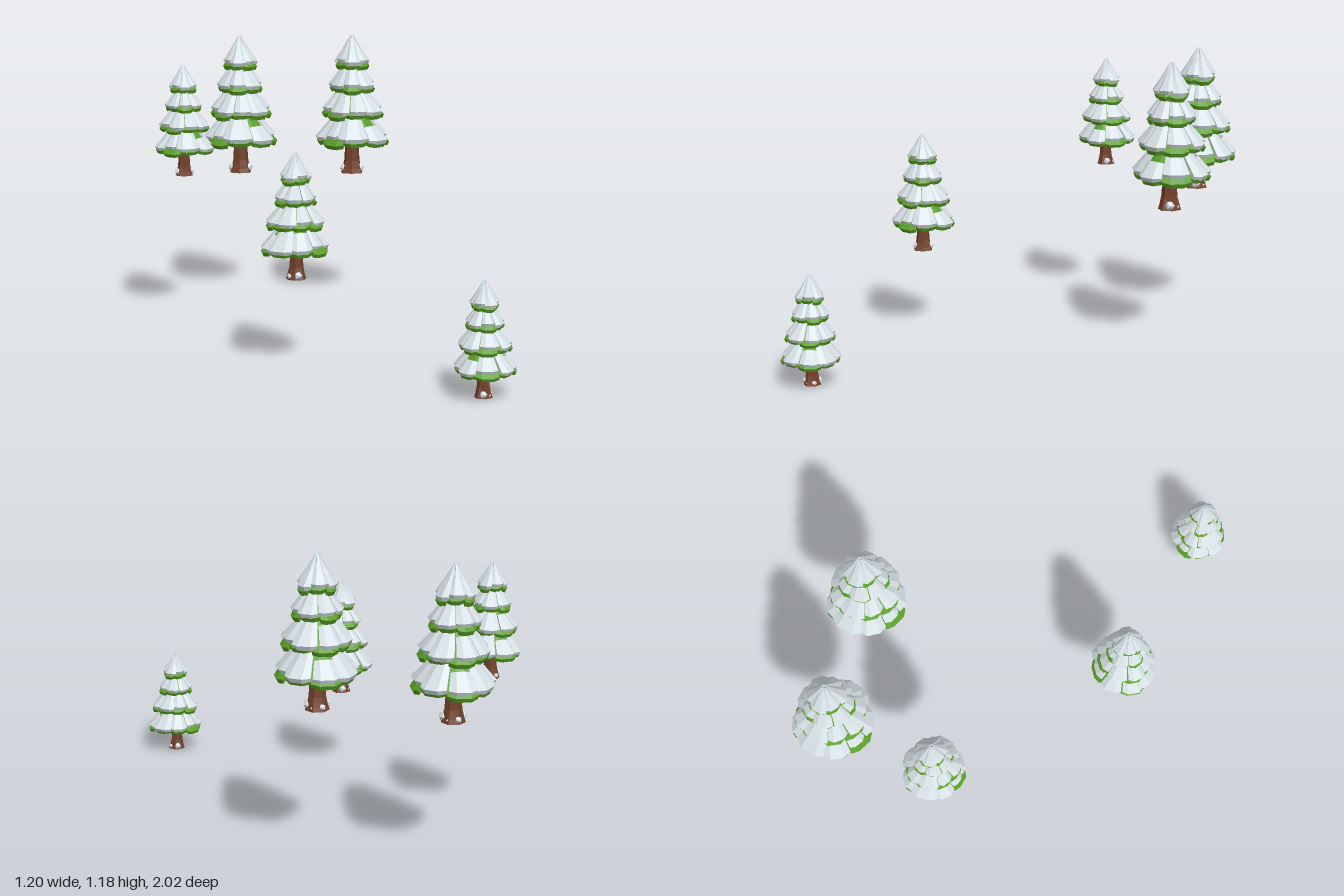
import * as THREE from 'three';
import { mergeGeometries } from 'three/addons/utils/BufferGeometryUtils.js';

const snow = new THREE.MeshStandardMaterial({ color: 0xd6e0e4, flatShading: true });
snow.name = 'snow';
const needles = new THREE.MeshStandardMaterial({ color: 0x5a9f26, flatShading: true });
needles.name = 'needle green';
const bark = new THREE.MeshStandardMaterial({ color: 0x74412b, flatShading: true });
bark.name = 'bark brown';

const RAD = Math.PI / 180;

// Solid skinned over closed cross-sections of equal length, with end caps
function loft(sections) {
  const pos = [];
  const quad = (a, b, c, d) => pos.push(...a, ...b, ...c, ...a, ...c, ...d);
  const m = sections[0].length;
  for (let i = 0; i < sections.length - 1; i++) {
    const A = sections[i], B = sections[i + 1];
    for (let j = 0; j < m; j++) {
      const k = (j + 1) % m;
      quad(A[j], A[k], B[k], B[j]);
    }
  }
  const first = sections[0], last = sections[sections.length - 1];
  for (let k = 0; k < m / 2 - 1; k++) {
    quad(first[k], first[m - 1 - k], first[m - 2 - k], first[k + 1]);
    quad(last[k], last[k + 1], last[m - 2 - k], last[m - 1 - k]);
  }
  const g = new THREE.BufferGeometry();
  g.setAttribute('position', new THREE.Float32BufferAttribute(pos, 3));
  g.computeVertexNormals();
  return g;
}

// Uneven outline shared by needles and snow of a tier
const reach = (phi) => 1.05 + 0.05 * Math.sin(phi) + 0.03 * Math.sin(phi * 5 + 1);

// One drooping plate on a tier's slope.
// from/to: covered part of the slope; outer/inner: offsets of its two skins
function bough({ r0, y0, r1, y1 }, { angle, half, from, to, outer, inner }) {
  const sections = [-1, -0.45, 0.45, 1].map((t) => {
    const edge = Math.abs(t) === 1;
    const phi = angle + t * half;
    const rim = r1 * reach(phi);
    const point = (s, off) => {
      const r = Math.max(0.002, r0 + (rim - r0) * (edge ? s * 0.97 : s) + off * 0.5);
      const y = y0 + (y1 - y0) * s - 0.03 * s * (1 - s) + off;
      return [r * Math.sin(phi), y, r * Math.cos(phi)];
    };
    const end = edge ? to - 0.05 : to;
    const steps = [from, (from + end) / 2, end];
    const top = edge ? outer * 0.7 : outer;
    return [...steps.map((s) => point(s, top)), ...steps.reverse().map((s) => point(s, inner))];
  });
  return loft(sections);
}

// Each snow plate: direction in degrees, half width, start and end on the slope
const TIERS = [
  {
    name: 'bottomTier', r0: 0.07, y0: 0.47, r1: 0.25, y1: 0.235, boughs: 8,
    plates: [[0, 22, 0.55, 1], [45, 22, 0.1, 0.88], [92, 20, 0, 0.97], [135, 20, 0.5, 0.98],
      [180, 26, 0, 1], [225, 22, 0.4, 0.95], [265, 16, 0.3, 0.86], [310, 27, 0, 0.93]],
  },
  {
    name: 'secondTier', r0: 0.05, y0: 0.645, r1: 0.215, y1: 0.435, boughs: 8,
    plates: [[0, 26, 0, 0.98], [52, 24, 0, 0.87], [100, 22, 0, 0.97], [145, 20, 0.4, 0.95],
      [190, 24, 0, 0.96], [235, 20, 0, 0.86], [280, 22, 0.35, 0.97], [325, 21, 0, 0.94]],
  },
  {
    name: 'thirdTier', r0: 0.035, y0: 0.8, r1: 0.155, y1: 0.62, boughs: 7,
    plates: [[0, 28, 0.35, 0.97], [50, 20, 0.3, 0.86], [97, 25, 0, 0.95], [150, 26, 0, 0.9],
      [205, 26, 0.35, 0.95], [258, 24, 0, 0.97], [310, 24, 0, 0.9]],
  },
  {
    name: 'topTier', r0: 0, y0: 0.978, r1: 0.117, y1: 0.785, boughs: 6,
    plates: [[10, 31, 0, 0.9], [70, 31, 0, 0.98], [130, 31, 0, 0.88], [190, 31, 0, 0.96],
      [250, 31, 0, 0.86], [310, 31, 0, 0.96]],
  },
];

function tierGeometry(tier) {
  const green = [];
  for (let i = 0; i < tier.boughs; i++) {
    green.push(bough(tier, {
      angle: (i / tier.boughs) * Math.PI * 2, half: Math.PI / tier.boughs,
      from: 0, to: 1 + 0.05 * Math.sin(i * 2.4), outer: 0, inner: -0.028,
    }));
  }
  const white = tier.plates.map(([deg, half, from, to]) => bough(tier, {
    angle: deg * RAD, half: half * RAD, from, to, outer: 0.026, inner: -0.004,
  }));
  // Solid heart that closes the tier from below
  const h = (tier.y0 - tier.y1) * 0.85;
  const core = new THREE.CylinderGeometry(tier.r0 * 0.8, tier.r1 * 0.68, h, 9).toNonIndexed();
  core.deleteAttribute('uv');
  core.translate(0, tier.y0 - 0.035 - h / 2, 0);
  green.push(core);
  return { green: mergeGeometries(green), white: mergeGeometries(white) };
}

// Trunk with a flared, slightly uneven foot
function trunkGeometry() {
  const profile = [[0, 0], [0.083, 0], [0.072, 0.03], [0.057, 0.09], [0.05, 0.2], [0.046, 0.4]];
  const g = new THREE.LatheGeometry(profile.map(([x, y]) => new THREE.Vector2(x, y)), 7);
  const p = g.attributes.position;
  for (let i = 0; i < p.count; i++) {
    const a = Math.atan2(p.getX(i), p.getZ(i));
    const k = 1 + 0.06 * Math.cos(a * 4) * (p.getY(i) < 0.05 ? 1 : 0);
    p.setX(i, p.getX(i) * k);
    p.setZ(i, p.getZ(i) * k);
  }
  g.computeVertexNormals();
  return g;
}

// Small snow lumps against the foot of the trunk
function driftGeometry() {
  const lumps = [[0.65, 0.034], [1.7, 0.02], [2.7, 0.026], [-2.3, 0.034]].map(([a, r]) => {
    const g = new THREE.IcosahedronGeometry(r, 0);
    return g.translate(0.057 * Math.sin(a), r, 0.057 * Math.cos(a));
  });
  return mergeGeometries(lumps);
}

function part(name, geometry, material) {
  const mesh = new THREE.Mesh(geometry, material);
  mesh.name = name;
  return mesh;
}

export function createModel() {
  const group = new THREE.Group();
  group.name = 'snowyPines';
  const trunk = trunkGeometry();
  const drift = driftGeometry();
  const tiers = TIERS.map(tierGeometry);

  // x, ground height, z, tree height, turn
  const trees = [
    [-0.277, 0, 0.885, 0.435, -1.57],
    [-0.46, 0.355, 0.12, 0.485, 1.75],
    [-0.22, 0.62, -0.75, 0.458, 0.3],
    [0.206, 0.567, -0.847, 0.593, 0],
    [0.432, 0.588, -0.395, 0.59, 0.08],
  ];
  trees.forEach(([x, y, z, height, turn], i) => {
    const tree = new THREE.Group();
    tree.name = `pineTree${i + 1}`;
    tree.add(part('trunk', trunk, bark), part('trunkSnow', drift, snow));
    TIERS.forEach((tier, k) => {
      tree.add(part(`${tier.name}Needles`, tiers[k].green, needles));
      tree.add(part(`${tier.name}Snow`, tiers[k].white, snow));
    });
    tree.position.set(x, y, z);
    tree.rotation.y = turn;
    tree.scale.setScalar(height);
    group.add(tree);
  });
  return group;
}
